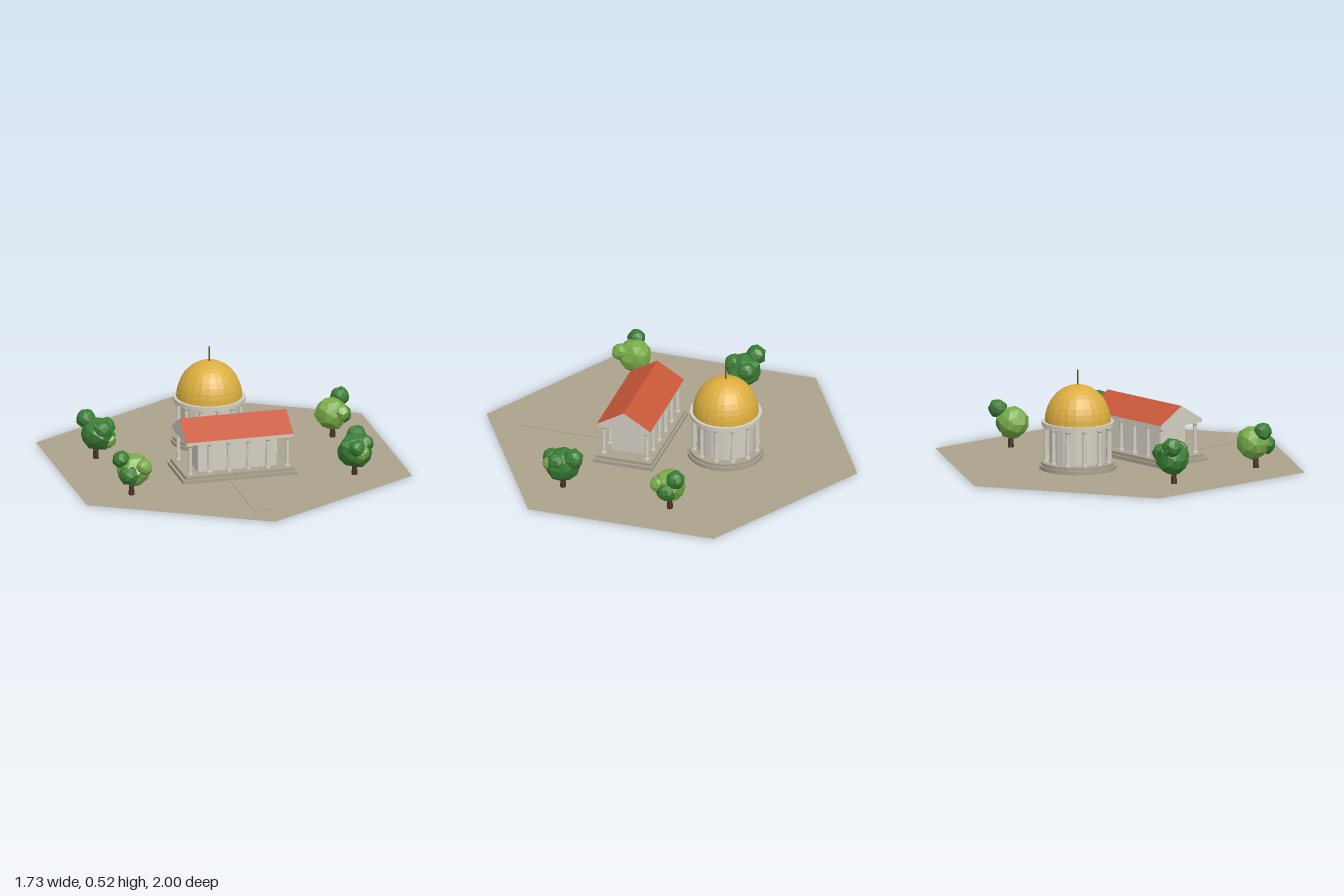
import * as THREE from 'three';

const mat = (name, color, extra = {}) => {
  const m = new THREE.MeshStandardMaterial({ color, flatShading: true, ...extra });
  m.name = name;
  return m;
};

export function createModel() {
  const earth = mat('sand ground', 0xaca28c, { side: THREE.DoubleSide });
  const step = mat('step stone', 0xa9a290);
  const stone = mat('pale stone', 0xd2cec2);
  const red = mat('roof tile', 0xc8583a);
  const gold = mat('gold', 0xdcae40);
  const bronze = mat('dark bronze', 0x6b5526);
  const bark = mat('bark', 0x4a3324);
  const dark = mat('dark leaf', 0x3a7d34);
  const light = mat('light leaf', 0x78aa48);

  const root = new THREE.Group();
  root.name = 'templeGarden';

  const add = (parent, name, geo, material, x = 0, y = 0, z = 0) => {
    const mesh = new THREE.Mesh(geo, material);
    mesh.name = name;
    mesh.position.set(x, y, z);
    parent.add(mesh);
    return mesh;
  };
  const group = (name, x, y, z) => {
    const g = new THREE.Group();
    g.name = name;
    g.position.set(x, y, z);
    root.add(g);
    return g;
  };
  // Box and drum placed by their bottom and top heights
  const box = (p, name, w, y0, y1, d, m) =>
    add(p, name, new THREE.BoxGeometry(w, y1 - y0, d), m, 0, (y0 + y1) / 2, 0);
  const drum = (p, name, r, y0, y1, m, sides = 32) =>
    add(p, name, new THREE.CylinderGeometry(r, r, y1 - y0, sides), m, 0, (y0 + y1) / 2, 0);

  // Column with foot, tapered shaft and capital in one turned profile
  const column = (p, x, z, y0, y1) => {
    const h = y1 - y0;
    const pts = [[0, 0], [0.014, 0], [0.014, 0.01], [0.011, 0.012], [0.009, h - 0.018],
      [0.014, h - 0.01], [0.014, h], [0, h]].map(([r, y]) => new THREE.Vector2(r, y));
    add(p, 'column', new THREE.LatheGeometry(pts, 10), stone, x, y0, z);
  };

  // Ground and path
  const hex = new THREE.CircleGeometry(1, 6, Math.PI / 2);
  hex.rotateX(-Math.PI / 2);
  add(root, 'ground', hex, earth, 0, 0.003, 0);
  add(root, 'path', new THREE.BoxGeometry(0.12, 0.006, 0.71), earth, 0, 0.003, 0.455);

  // Rectangular temple
  const temple = group('temple', 0, 0, 0.17);
  box(temple, 'lowerStep', 0.608, 0.004, 0.023, 0.32, step);
  box(temple, 'upperStep', 0.58, 0.023, 0.04, 0.3, step);
  box(temple, 'hall', 0.42, 0.04, 0.205, 0.18, stone);
  box(temple, 'entablature', 0.566, 0.205, 0.222, 0.282, stone);
  for (let i = 0; i < 6; i++) {
    for (const s of [-1, 1]) column(temple, -0.258 + i * 0.1032, s * 0.116, 0.04, 0.205);
  }
  // Gable prism: stone ends, tiled slopes
  const gable = new THREE.Shape();
  gable.moveTo(-0.145, 0).lineTo(0.145, 0).lineTo(0, 0.087).closePath();
  const roof = new THREE.ExtrudeGeometry(gable, { depth: 0.57, bevelEnabled: false });
  roof.translate(0, 0, -0.285);
  roof.rotateY(Math.PI / 2);
  add(temple, 'roof', roof, [stone, red], 0, 0.222, 0);

  // Domed rotunda
  const rotunda = group('rotunda', 0, 0, -0.29);
  drum(rotunda, 'lowerRoundStep', 0.198, 0.004, 0.024, step);
  drum(rotunda, 'upperRoundStep', 0.189, 0.024, 0.04, step);
  drum(rotunda, 'roundHall', 0.145, 0.04, 0.23, stone, 24);
  for (let i = 0; i < 12; i++) {
    const a = i * Math.PI / 6;
    column(rotunda, 0.167 * Math.sin(a), 0.167 * Math.cos(a), 0.04, 0.23);
  }
  drum(rotunda, 'ringBeam', 0.186, 0.23, 0.25, stone);
  const dome = add(rotunda, 'dome',
    new THREE.SphereGeometry(0.17, 24, 10, 0, Math.PI * 2, 0, Math.PI / 2), gold, 0, 0.25, 0);
  dome.scale.y = 1.12;
  drum(rotunda, 'spire', 0.004, 0.435, 0.518, bronze, 8);

  // Faceted leaf clump, roughened by a rule on vertex direction
  const clump = (p, [x, y, z, r, m], seed) => {
    const geo = new THREE.IcosahedronGeometry(1, 1);
    const pos = geo.attributes.position;
    const v = new THREE.Vector3();
    for (let i = 0; i < pos.count; i++) {
      v.fromBufferAttribute(pos, i);
      const n = Math.sin(v.x * 5.1 + seed) * Math.sin(v.y * 4.3 + seed * 2) * Math.sin(v.z * 4.7 + seed * 3);
      v.multiplyScalar(r * (1 + 0.14 * n));
      pos.setXYZ(i, v.x, v.y, v.z);
    }
    geo.computeVertexNormals();
    add(p, 'leafClump', geo, m, x, y, z);
  };

  // Trees: trunk position, then clumps as offset x, height, offset z, radius, colour
  const trees = [
    [-0.63, -0.19, [[0.01, 0.135, 0, 0.088, dark], [-0.04, 0.205, -0.05, 0.05, dark],
      [0.02, 0.17, 0.05, 0.05, dark], [0.06, 0.16, -0.03, 0.048, dark], [0.055, 0.11, 0.03, 0.045, light]]],
    [0.63, -0.19, [[-0.01, 0.135, 0.005, 0.085, light], [0.05, 0.205, -0.045, 0.048, dark],
      [0.03, 0.15, 0.055, 0.043, light], [0.045, 0.125, 0.005, 0.052, dark]]],
    [-0.6, 0.4, [[0.01, 0.135, -0.01, 0.088, light], [-0.055, 0.2, 0, 0.046, dark],
      [0.05, 0.165, 0.055, 0.043, light], [-0.025, 0.125, 0.043, 0.053, dark]]],
    [0.587, 0.4, [[0, 0.135, 0, 0.09, dark], [0.027, 0.195, -0.065, 0.05, dark],
      [0.015, 0.14, 0.06, 0.046, light], [0.05, 0.175, 0.02, 0.045, dark], [-0.005, 0.165, 0.065, 0.045, dark]]],
  ];
  trees.forEach(([x, z, clumps], t) => {
    const tree = group('tree', x, 0, z);
    add(tree, 'trunk', new THREE.CylinderGeometry(0.012, 0.016, 0.08, 7), bark, 0, 0.043, 0);
    clumps.forEach((c, i) => clump(tree, c, t * 1.7 + i * 0.9 + 1));
  });

  return root;
}
